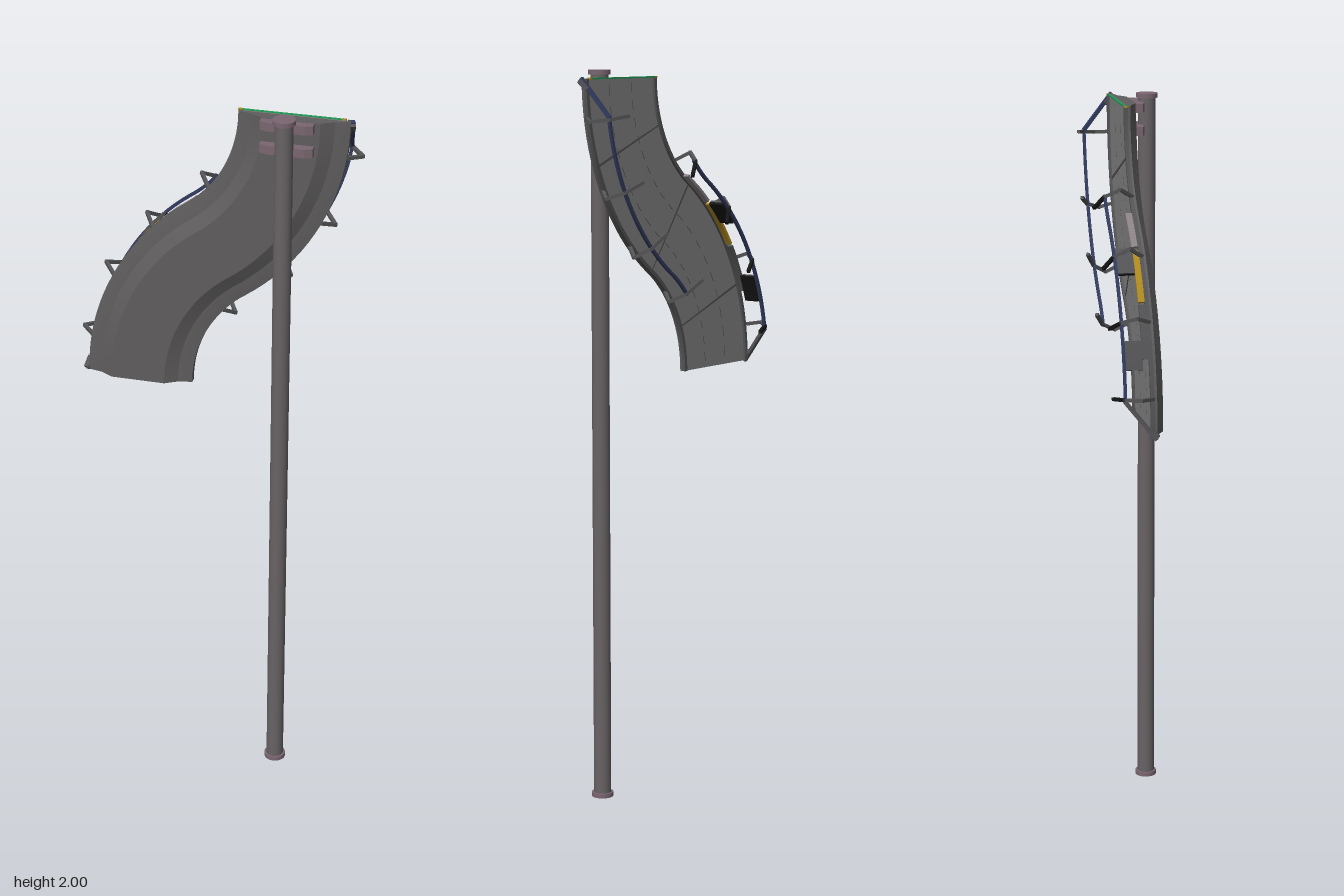
import * as THREE from 'three';
import { toCreasedNormals } from 'three/addons/utils/BufferGeometryUtils.js';

const R = 0.496, ANG = 0.956, TOP = 1.98, BOTTOM = 1.17, CX = 0.286;
const HALF = 0.147;

// Point on the S-curve: t runs 0 (top) to 2 (bottom), off is sideways (+x at the top)
function onCurve(t, off, z) {
  if (t <= 1) {
    const a = t * ANG, r = R + off;
    return new THREE.Vector3(-CX + r * Math.cos(a), TOP - r * Math.sin(a), z);
  }
  const a = (2 - t) * ANG, r = R - off;
  return new THREE.Vector3(CX - r * Math.cos(a), BOTTOM + r * Math.sin(a), z);
}

// Sweep a convex section of [off, z] corners along the curve
function sweep(section, t0, t1) {
  const steps = Math.max(1, Math.ceil((t1 - t0) * 20));
  const n = section.length, pos = [];
  const rings = [];
  for (let i = 0; i <= steps; i++) {
    const t = t0 + (t1 - t0) * i / steps;
    rings.push(section.map(([o, z]) => onCurve(t, o, z)));
  }
  const tri = (...pts) => pts.forEach(p => pos.push(p.x, p.y, p.z));
  for (let i = 0; i < steps; i++) {
    for (let j = 0; j < n; j++) {
      const k = (j + 1) % n, a = rings[i], b = rings[i + 1];
      tri(a[j], a[k], b[k]);
      tri(a[j], b[k], b[j]);
    }
  }
  const s = rings[0], e = rings[steps];
  for (let j = 1; j < n - 1; j++) {
    tri(s[0], s[j + 1], s[j]);
    tri(e[0], e[j], e[j + 1]);
  }
  const g = new THREE.BufferGeometry();
  g.setAttribute('position', new THREE.Float32BufferAttribute(pos, 3));
  return toCreasedNormals(g, 0.5);
}

const rect = (o0, o1, z0, z1) => [[o0, z0], [o1, z0], [o1, z1], [o0, z1]];

export function createModel() {
  const model = new THREE.Group();
  const colour = (name, hex) => {
    const m = new THREE.MeshStandardMaterial({ color: hex });
    m.name = name;
    return m;
  };
  const mat = {
    girder: colour('dark concrete', 0x5f5d5d),
    deck: colour('road grey', 0x828282),
    frame: colour('frame grey', 0x545456),
    pole: colour('pole grey', 0x686365),
    mauve: colour('mauve steel', 0x7a6670),
    navy: colour('navy rail', 0x323b5e),
    black: colour('black', 0x141414),
    yellow: colour('yellow', 0xb08a20),
    green: colour('green', 0x1f9a55),
    panel: colour('pale panel', 0x8b8285),
  };
  const add = (name, geo, material, parent = model) => {
    const mesh = new THREE.Mesh(geo, material);
    mesh.name = name;
    parent.add(mesh);
    return mesh;
  };
  const strip = (name, material, o0, o1, z0, z1, t0 = 0, t1 = 2) =>
    add(name, sweep(rect(o0, o1, z0, z1), t0, t1), material);
  // Square bar between two points
  const bar = (name, a, b, w, material, parent) => {
    const mesh = add(name, new THREE.BoxGeometry(w, w, a.distanceTo(b) + w * 0.5), material, parent);
    mesh.position.copy(a).add(b).multiplyScalar(0.5);
    mesh.lookAt(b);
    return mesh;
  };

  // Deck slab with tapered underside, and box girder below it
  add('deckSlab', sweep([[-HALF, -0.003], [HALF, -0.003], [HALF, 0.004], [0.11, 0.012],
    [-0.11, 0.012], [-HALF, 0.004]], 0, 2), mat.girder);
  add('boxGirder', sweep([[-0.11, 0.011], [0.11, 0.011], [0.075, 0.032], [-0.075, 0.032]], 0, 2), mat.girder);
  strip('roadSurface', mat.deck, -0.137, 0.137, -0.006, -0.002);
  for (const s of [-1, 1]) {
    const lo = s < 0 ? -HALF : 0.137;
    strip('kerb', mat.frame, lo, lo + 0.01, -0.013, -0.002);
  }

  // Road joints and dashed lane lines
  for (const t of [0.38, 1, 1.62]) strip('roadJoint', mat.frame, -0.137, 0.137, -0.008, -0.005, t, t + 0.012);
  for (const o of [-0.046, 0.046]) {
    for (let i = 0; i < 18; i++) {
      const t = 0.03 + i * 0.11;
      strip('laneDash', mat.frame, o - 0.001, o + 0.001, -0.0065, -0.0055, t, t + 0.06);
    }
  }

  // Coloured edge at the upper end
  const edge = add('endStrip', new THREE.BoxGeometry(0.27, 0.004, 0.007), mat.green);
  edge.position.set(0.205, TOP, -0.009);
  for (const x of [0.065, 0.338]) {
    const tip = add('endStripTip', new THREE.BoxGeometry(0.01, 0.005, 0.008), mat.yellow);
    tip.position.set(x, TOP, -0.009);
  }

  // Bent brackets and handrails on both sides; the sides are half-turn copies in plan
  const stations = [0.17, 0.5, 0.81, 1.26];
  for (const side of [1, -1]) {
    const place = t => (side > 0 ? t : 2 - t);
    for (const t of stations) {
      const bracket = new THREE.Group();
      bracket.name = 'bracket';
      model.add(bracket);
      const pts = [[-0.008, 0], [0.034, -0.042], [0, -0.08], [-0.055, -0.102]]
        .map(([o, z]) => onCurve(place(t), side * (HALF + o), z));
      for (let i = 0; i < 3; i++) {
        bar(i < 2 ? 'bracketArm' : 'bracketTip', pts[i], pts[i + 1], 0.009,
          i === 2 && side < 0 ? mat.black : mat.frame, bracket);
      }
    }
    const o = side * (HALF - 0.003);
    const span = [place(0.16), place(1.28)].sort((a, b) => a - b);
    strip('handrail', mat.navy, o - 0.004, o + 0.004, -0.083, -0.075, ...span);
    bar('railEndPost', onCurve(place(0), side * (HALF + 0.005), 0),
      onCurve(place(0.16), o, -0.079), 0.01, side > 0 ? mat.navy : mat.frame);
    bar('railEndFoot', onCurve(place(0.01), side * (HALF + 0.006), 0.002),
      onCurve(place(0.04), side * (HALF + 0.002), -0.016), 0.014, mat.frame);
  }

  // Low barrier panels along the outer side of the lower bend
  const barrier = [['greyPanel', mat.frame, 1.42, 1.66], ['yellowPanel', mat.yellow, 1.16, 1.41],
    ['palePanel', mat.panel, 0.9, 1.14]];
  for (const [name, m, t0, t1] of barrier) strip(name, m, -0.146, -0.138, -0.03, -0.01, t0, t1);

  // Sign plates, grey outside and black inside
  for (const t of [1.15, 1.58]) {
    strip('signFront', mat.frame, -0.149, -0.143, -0.075, -0.03, t, t + 0.125);
    strip('signBack', mat.black, -0.143, -0.135, -0.075, -0.03, t, t + 0.125);
    strip('signFoot', mat.yellow, -0.143, -0.139, -0.035, -0.005, t + 0.05, t + 0.075);
  }

  // Pole with end collars
  const pole = add('pole', new THREE.CylinderGeometry(0.024, 0.024, 1.98, 32), mat.pole);
  pole.position.set(0.2, 1, 0.073);
  for (const y of [0.006, 1.994]) {
    const collar = add('poleCollar', new THREE.CylinderGeometry(0.03, 0.03, 0.012, 32), mat.mauve);
    collar.position.set(0.2, y, 0.073);
  }

  // Clamps joining pole and girder
  const plan = new THREE.Shape([[-0.07, -0.03], [0.07, -0.03], [0.07, -0.05], [0.05, -0.058],
    [-0.05, -0.058], [-0.07, -0.05]].map(p => new THREE.Vector2(...p)));
  for (const y of [1.955, 1.892]) {
    const clamp = add('clamp', new THREE.ExtrudeGeometry(plan, { depth: 0.024, bevelEnabled: false }), mat.mauve);
    clamp.rotation.x = -Math.PI / 2;
    clamp.position.set(0.2, y, 0);
  }
  return model;
}
